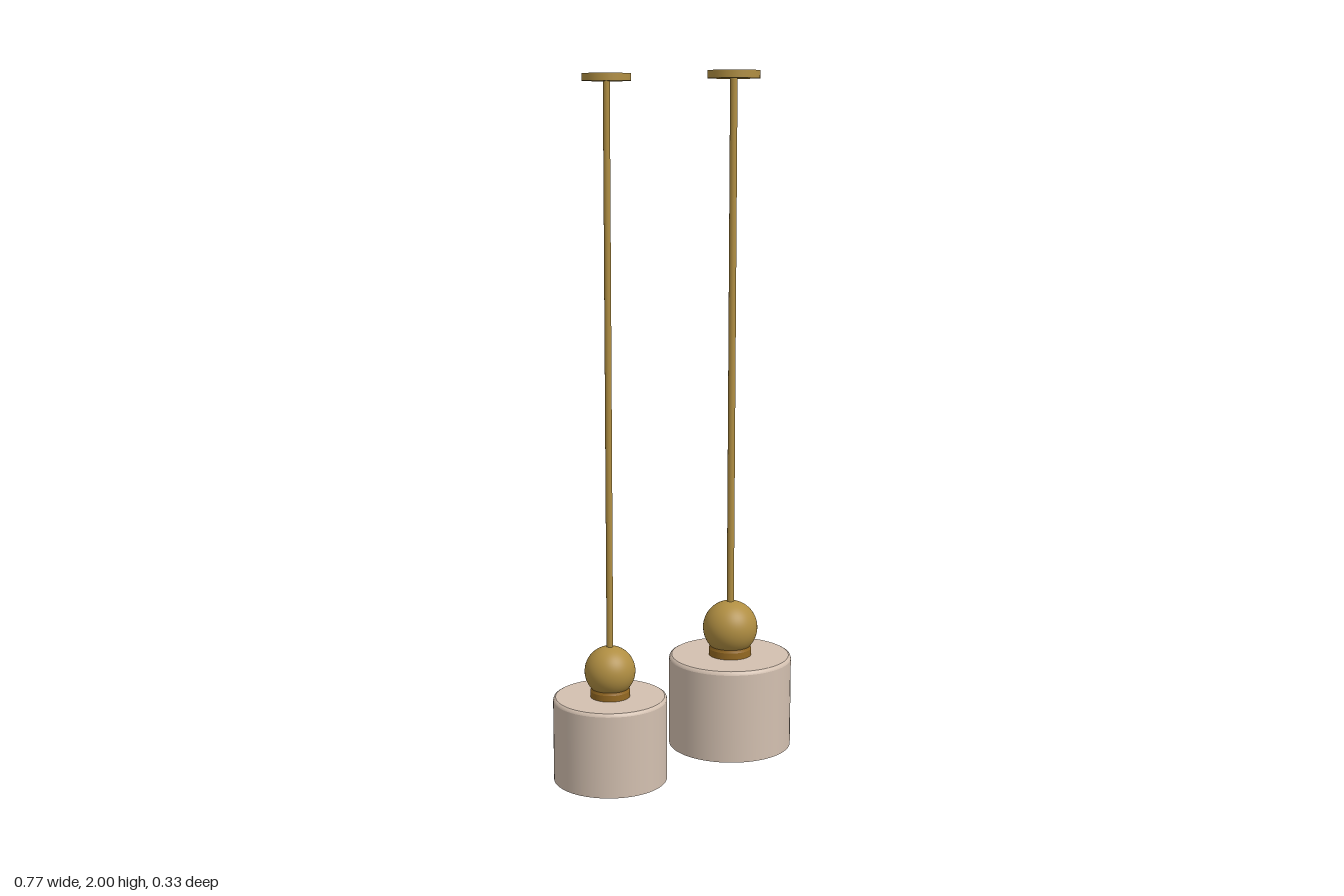
import * as THREE from 'three';

const mat = (name, color, side = THREE.FrontSide) => {
  const m = new THREE.MeshStandardMaterial({ color, side });
  m.name = name;
  return m;
};

// Lathe with crisp corners: each run of points is smoothed on its own
function lathe(name, runs, material) {
  const group = new THREE.Group();
  group.name = name;
  runs.forEach((run, i) => {
    const pts = run.map(([r, y]) => new THREE.Vector2(r, y));
    const mesh = new THREE.Mesh(new THREE.LatheGeometry(pts, 64), material);
    mesh.name = `${name}Surface${i + 1}`;
    group.add(mesh);
  });
  return group;
}

export function createModel() {
  const brass = mat('brass', 0xb08e42);
  const bronze = mat('dark bronze', 0x936822);
  const linen = mat('linen', 0xd3c0b0, THREE.DoubleSide);
  const model = new THREE.Group();
  model.name = 'pendantLamps';

  function pendant(name, x, bottom) {
    const lamp = new THREE.Group();
    lamp.name = name;
    lamp.position.x = x;
    const top = bottom + 0.247;
    const add = (part, geometry, material, y) => {
      const mesh = new THREE.Mesh(geometry, material);
      mesh.name = part;
      mesh.position.y = y;
      lamp.add(mesh);
    };

    // Drum shade: hollow, closed on top, open below
    const shade = lathe('shade', [
      [[0.157, 0], [0.164, 0]],
      [[0.164, 0], [0.164, 0.238]],
      [[0.164, 0.238], [0.162, 0.244], [0.157, 0.247]],
      [[0.157, 0.247], [0, 0.247]],
      [[0, 0.237], [0.157, 0.237]],
      [[0.157, 0.237], [0.157, 0]],
    ], linen);
    shade.position.y = bottom;
    lamp.add(shade);

    // Flared neck under the ball
    const neck = lathe('neck', [
      [[0.057, -0.002], [0.057, 0.018]],
      [[0.057, 0.018], [0.053, 0.026], [0.054, 0.034], [0.062, 0.044]],
    ], bronze);
    neck.position.y = top;
    lamp.add(neck);

    // Ball, rod and ceiling plate
    add('ball', new THREE.SphereGeometry(0.073, 48, 32), brass, top + 0.075);
    const rodStart = top + 0.14;
    add('rod', new THREE.CylinderGeometry(0.0095, 0.0095, 1.985 - rodStart, 20), brass, (1.985 + rodStart) / 2);
    add('ceilingPlate', new THREE.CylinderGeometry(0.067, 0.067, 0.02, 48), brass, 1.99);
    model.add(lamp);
  }

  pendant('rightLamp', -0.221, 0);
  pendant('leftLamp', 0.219, 0.215);
  return model;
}
